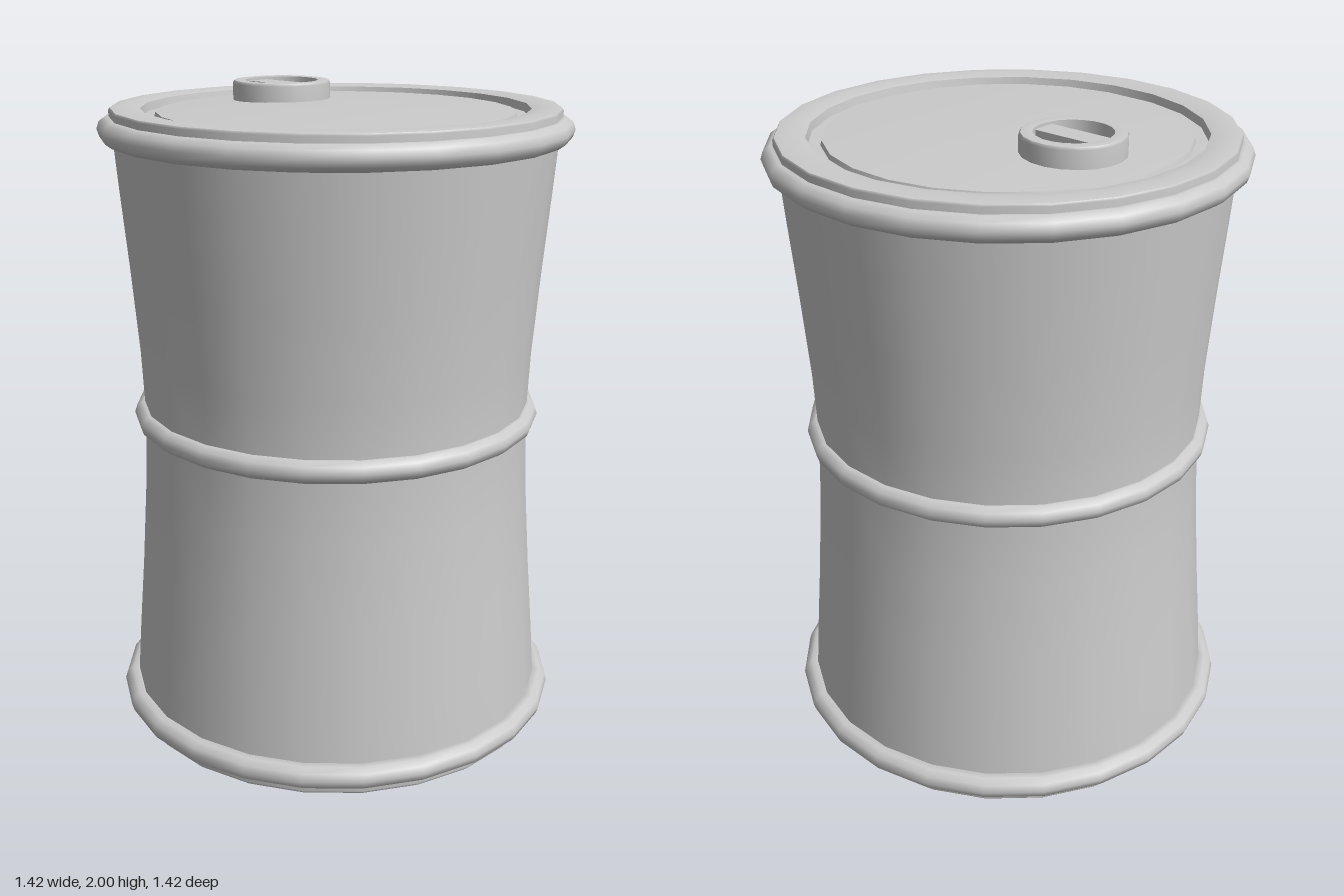
import * as THREE from 'three';

const SIDES = 24;
const material = new THREE.MeshStandardMaterial({ color: 0xcccccc });

function addMesh(parent, name, geometry) {
  const mesh = new THREE.Mesh(geometry, material);
  mesh.name = name;
  parent.add(mesh);
  return mesh;
}

// Each profile runs bottom centre -> out -> up -> top centre, so faces point outward.
function turned(parent, name, profile, sides = SIDES) {
  const points = profile.map(([r, y]) => new THREE.Vector2(r, y));
  return addMesh(parent, name, new THREE.LatheGeometry(points, sides));
}

function hoop(parent, name, radius, tube, y) {
  const mesh = addMesh(parent, name, new THREE.TorusGeometry(radius, tube, 10, SIDES));
  mesh.rotation.x = Math.PI / 2;
  mesh.position.y = y;
  return mesh;
}

export function createModel() {
  const barrel = new THREE.Group();
  barrel.name = 'barrel';

  // Waisted wall
  turned(barrel, 'wall', [
    [0.665, 0.06], [0.651, 0.25], [0.63, 0.5], [0.611, 0.77], [0.602, 1],
    [0.61, 1.2], [0.63, 1.46], [0.651, 1.7], [0.667, 1.9],
  ]);

  // Reinforcing hoops
  hoop(barrel, 'bottomHoop', 0.671, 0.038, 0.068);
  hoop(barrel, 'middleHoop', 0.6, 0.036, 1.005);
  hoop(barrel, 'topHoop', 0.671, 0.038, 1.885);

  // Base: recessed floor and lower rim
  turned(barrel, 'floor', [[0, 0.025], [0.58, 0.025]]);
  turned(barrel, 'bottomRimInside', [[0.58, 0.025], [0.58, 0.005]]);
  turned(barrel, 'bottomRim', [[0.58, 0.005], [0.625, 0], [0.665, 0.005]]);
  turned(barrel, 'bottomRimSide', [[0.665, 0.005], [0.672, 0.015], [0.672, 0.07]]);

  // Upper rim with a narrow groove around the lid
  turned(barrel, 'topRimSide', [[0.672, 1.88], [0.672, 1.94], [0.668, 1.946]]);
  turned(barrel, 'topRim', [[0.668, 1.946], [0.625, 1.951], [0.58, 1.943]]);
  turned(barrel, 'grooveWall', [[0.58, 1.943], [0.576, 1.918]]);
  turned(barrel, 'grooveFloor', [[0.576, 1.918], [0.539, 1.918]]);
  turned(barrel, 'lidEdge', [[0.539, 1.918], [0.535, 1.932]]);

  // Shallow domed lid
  turned(barrel, 'lid', [[0.535, 1.932], [0.4, 1.938], [0.2, 1.943], [0, 1.945]]);

  // Filler cap: open ring with a grip bar across it
  const cap = new THREE.Group();
  cap.name = 'fillerCap';
  cap.position.set(-0.283, 0, 0);
  barrel.add(cap);
  turned(cap, 'capOutside', [[0.152, 1.92], [0.152, 1.99], [0.147, 1.998]], 20);
  turned(cap, 'capTop', [[0.147, 1.998], [0.13, 2], [0.113, 1.998]], 20);
  turned(cap, 'capInside', [[0.113, 1.998], [0.113, 1.94]], 20);
  turned(cap, 'capFloor', [[0.113, 1.95], [0, 1.95]], 20);
  const grip = addMesh(cap, 'gripBar', new THREE.BoxGeometry(0.218, 0.05, 0.075));
  grip.position.y = 1.965;
  grip.rotation.y = 0.17;

  return barrel;
}
